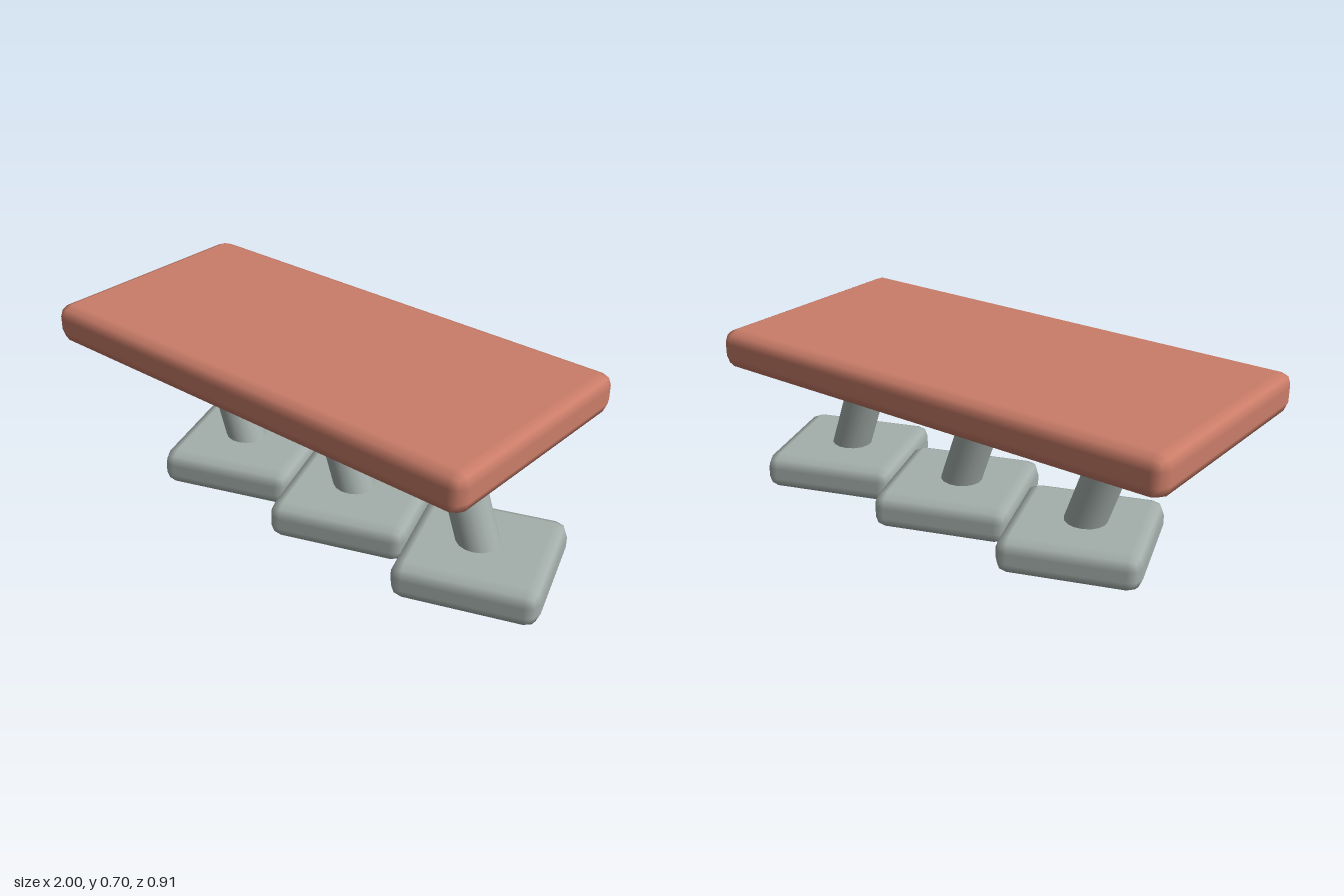
import * as THREE from 'three';
import { RoundedBoxGeometry } from 'three/addons/geometries/RoundedBoxGeometry.js';

const LEAN = THREE.MathUtils.degToRad(19.5);
const TURN = THREE.MathUtils.degToRad(20);

export function createModel() {
  const group = new THREE.Group();
  const clay = new THREE.MeshStandardMaterial({ name: 'terracotta', color: 0xcb7d69 });
  const stone = new THREE.MeshStandardMaterial({ name: 'greyGreen', color: 0xa4afab });

  const add = (name, geometry, material, x, y) => {
    const mesh = new THREE.Mesh(geometry, material);
    mesh.name = name;
    mesh.position.set(x, y, 0);
    group.add(mesh);
    return mesh;
  };

  // Softly bevelled slab
  add('tableTop', new RoundedBoxGeometry(1.89, 0.152, 0.91, 1, 0.05), clay, -0.055, 0.621);

  // Three turned foot blocks, each with a leaning post
  const footGeometry = new RoundedBoxGeometry(0.526, 0.14, 0.506, 1, 0.05);
  const postGeometry = new THREE.CylinderGeometry(0.076, 0.076, 0.56, 16);
  ['right', 'middle', 'left'].forEach((side, i) => {
    const x = -0.442 + i * 0.5625;
    add(side + 'Foot', footGeometry, stone, x, 0.07).rotation.y = TURN;
    const y = 0.342;
    add(side + 'Post', postGeometry, stone, x + 0.01 - (y - 0.07) * Math.tan(LEAN), y).rotation.z = LEAN;
  });

  return group;
}
